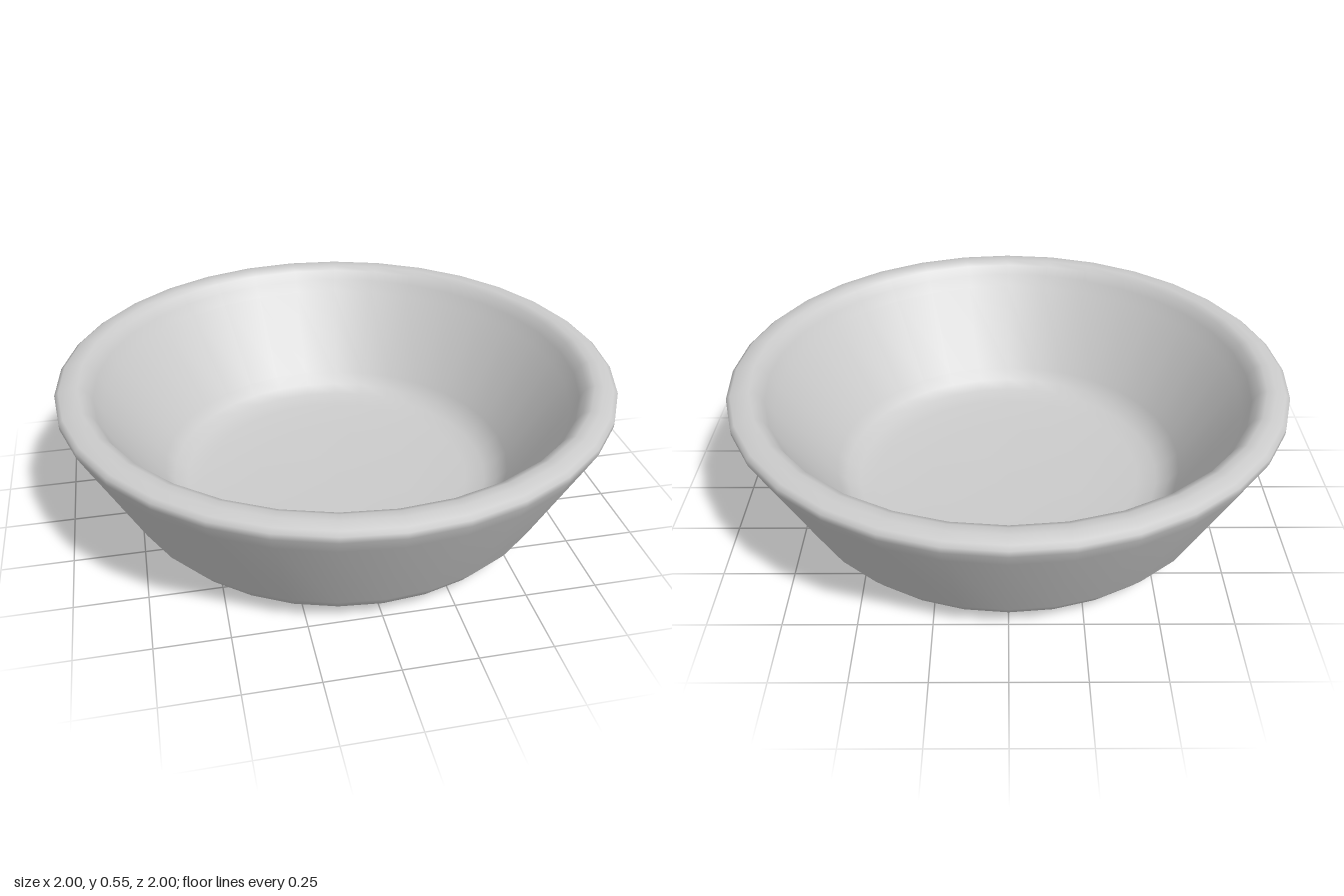
import * as THREE from 'three';

export function createModel() {
  const group = new THREE.Group();
  const material = new THREE.MeshStandardMaterial({ color: 0xcccccc });

  // Closed wall section: underside, outer wall, rounded rim, inner wall, dished floor
  const profile = [
    [0, 0], [0.61, 0], [0.64, 0.005], [0.69, 0.02], [0.75, 0.055], [0.795, 0.11],
    [0.975, 0.46], [1, 0.51], [1, 0.532], [0.985, 0.543], [0.95, 0.553], [0.92, 0.553],
    [0.893, 0.54], [0.872, 0.505], [0.845, 0.46],
    [0.65, 0.165], [0.615, 0.125], [0.57, 0.1], [0.5, 0.085], [0.3, 0.072], [0, 0.068],
  ].map(([r, y]) => new THREE.Vector2(r, y));

  const bowl = new THREE.Mesh(new THREE.LatheGeometry(profile, 32), material);
  bowl.name = 'bowl';
  group.add(bowl);
  return group;
}
